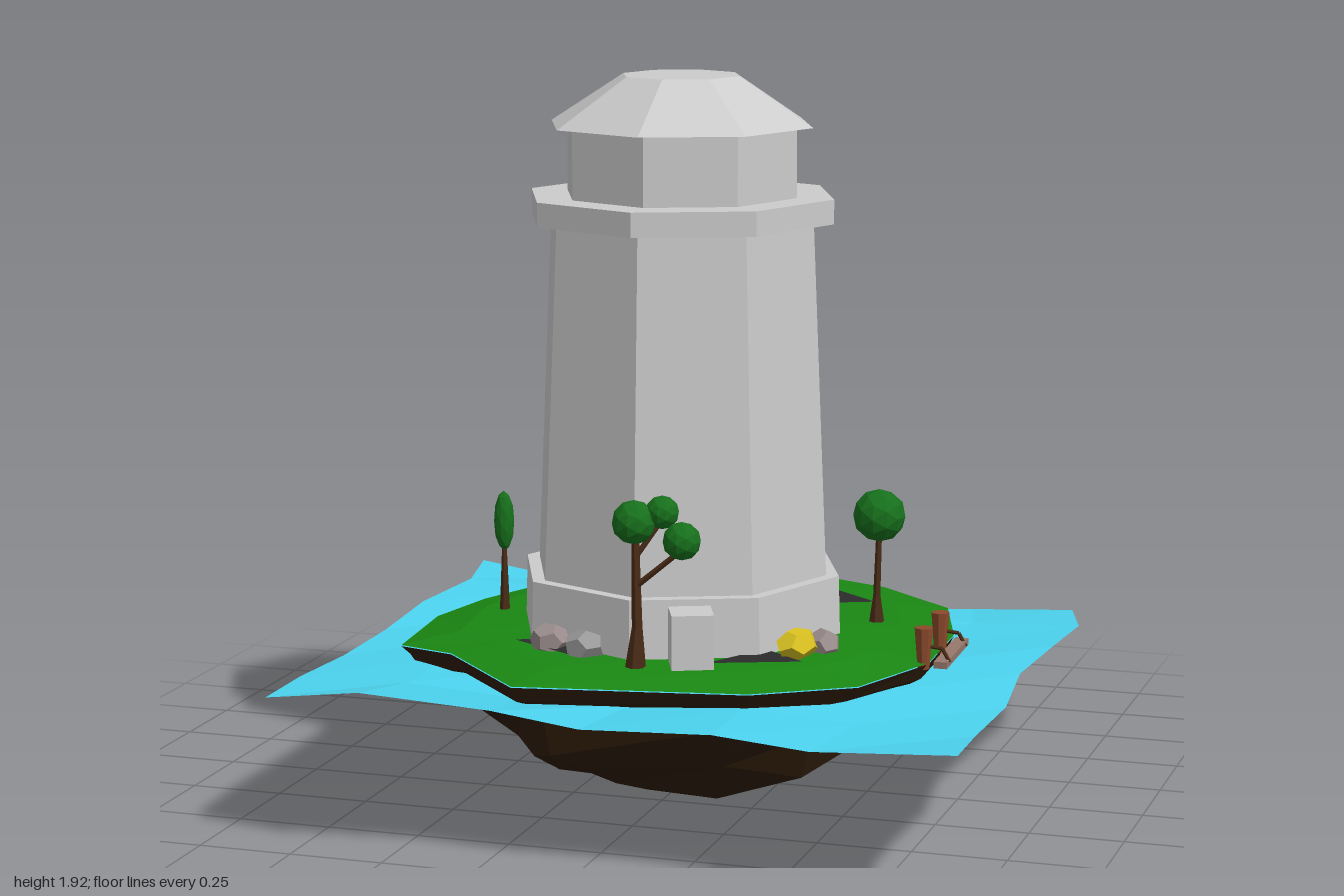
import * as THREE from 'three';

const mat = (color, side = THREE.FrontSide) =>
  new THREE.MeshStandardMaterial({ color, flatShading: true, side });
const STONE = mat(0xcccccc), GRASS = mat(0x1a8813), SOIL = mat(0x2e1c0a);
const WATER = mat(0x4cd4f0, THREE.DoubleSide), PATCH = mat(0x2c2c2c, THREE.DoubleSide);
const LEAF = mat(0x17701c), TRUNK = mat(0x4a2c17), WOOD = mat(0x8b4a2b);
const PLANK = mat(0x96786c), ROCK = mat(0x9a8c8c), GREYROCK = mat(0x999999), YELLOW = mat(0xd8c020);

function add(parent, name, geometry, material, x = 0, y = 0, z = 0) {
  const m = new THREE.Mesh(geometry, material);
  m.name = name;
  m.position.set(x, y, z);
  parent.add(m);
  return m;
}

// Shore outline: x, z, height of the rim
const SHORE = [
  [-0.735, 0, 0.4], [-0.67, -0.2, 0.41], [-0.48, -0.5, 0.43], [-0.21, -0.69, 0.43], [0.085, -0.715, 0.43],
  [0.38, -0.635, 0.42], [0.61, -0.44, 0.42], [0.71, -0.1, 0.43], [0.72, 0.22, 0.43], [0.6, 0.475, 0.42],
  [0.355, 0.635, 0.42], [-0.23, 0.78, 0.43], [-0.5, 0.5, 0.43], [-0.69, 0.38, 0.41],
];

// Skin over rings of equal point count
function loft(rings) {
  const n = rings[0].length, pos = rings.flat(2), index = [];
  for (let r = 0; r < rings.length - 1; r++) {
    for (let j = 0; j < n; j++) {
      const a = r * n + j, b = r * n + (j + 1) % n;
      index.push(a, a + n, b, b, a + n, b + n);
    }
  }
  const g = new THREE.BufferGeometry();
  g.setAttribute('position', new THREE.Float32BufferAttribute(pos, 3));
  g.setIndex(index);
  g.computeVertexNormals();
  return g;
}

function addIsland(root) {
  // Grass: rim rises to a nearly level plateau
  const grass = [[1, 0], [0.8, 0.8], [0.55, 1], [0, 1]].map(([s, t]) =>
    SHORE.map(([x, z, y]) => [x * s, y + (0.45 - y) * t, z * s]));
  add(root, 'grass', loft(grass), GRASS);

  // Ragged soil bowl, from the lowest point up to the rim
  const levels = [[0, 0.005], [0.25, 0.015], [0.46, 0.06], [0.64, 0.14], [0.75, 0.23], [0.86, 0.33], [0.97, 0.385]];
  const soil = levels.map(([s, y], i) => SHORE.map(([x, z], j) => {
    const k = i && i < 6 ? 1 + 0.06 * Math.sin(j * 2.4 + i * 1.7) : 1;
    const dy = i > 1 && i < 6 ? 0.02 * Math.sin(j * 1.9 + i * 2.3) : 0;
    return [x * s * k, y + dy, z * s * k];
  }));
  soil.push(SHORE.map(([x, z, y]) => [x, y - 0.003, z]));
  add(root, 'soil', loft(soil), SOIL);

  // Dark slabs showing around the foot of the tower
  const tris = [
    [0.18, -0.2, 0.265, -0.445, 0.435, -0.31], [-0.47, -0.11, -0.36, -0.36, -0.25, -0.22],
    [-0.12, -0.4, -0.03, -0.37, -0.1, -0.3], [0.2, 0.49, 0.43, 0.4, 0.3, 0.3], [-0.36, 0.4, -0.2, 0.34, -0.17, 0.51],
  ];
  for (const t of tris) {
    const g = new THREE.BufferGeometry();
    g.setAttribute('position', new THREE.Float32BufferAttribute(
      [t[0], 0.455, t[1], t[4], 0.455, t[5], t[2], 0.455, t[3]], 3));
    g.computeVertexNormals();
    add(root, 'darkSlab', g, PATCH);
  }
}

// Wavy sheet: edge points follow the ragged outline, height varies across
function addWater(root) {
  const back = [[-0.98, 0.33, -1], [-0.68, 0.31, -0.92], [-0.38, 0.29, -0.975], [-0.09, 0.27, -0.96], [0.2, 0.27, -0.98], [0.55, 0.29, -0.985], [0.85, 0.31, -0.98]];
  const front = [[-0.85, 0.385, 0.91], [-0.56, 0.44, 0.99], [-0.23, 0.405, 0.93], [0.01, 0.38, 0.945], [0.35, 0.39, 0.93], [0.6, 0.37, 0.935], [0.97, 0.39, 0.93]];
  const left = [-0.98, -0.89, -0.915, -0.9, -0.89, -0.88, -0.85];
  const right = [0.85, 0.935, 0.93, 0.91, 0.945, 0.94, 0.97];
  const g = new THREE.PlaneGeometry(2, 2, 6, 6).rotateX(-Math.PI / 2);
  const p = g.attributes.position;
  for (let r = 0; r < 7; r++) {
    for (let c = 0; c < 7; c++) {
      let [x, y, z] = r === 0 ? back[c] : front[c];
      if (r > 0 && r < 6) {
        x = left[r] + (right[r] - left[r]) * c / 6;
        z = -0.98 + r * 0.32;
        y = 0.335 + 0.006 * r + 0.012 * Math.sin(c * 1.9 + r * 1.3);
      }
      p.setXYZ(r * 7 + c, x, y, z);
    }
  }
  g.computeVertexNormals();
  add(root, 'water', g, WATER);
}

// Eight-sided tower with a corner facing each axis
function addTower(root) {
  const tower = new THREE.Group();
  tower.name = 'tower';
  tower.position.set(-0.01, 0, 0.05);
  root.add(tower);
  const tiers = [ // name, bottom radius, top radius, bottom y, top y
    ['towerBase', 0.445, 0.44, 0.42, 0.605], ['towerShaft', 0.405, 0.365, 0.6, 1.55],
    ['gallery', 0.42, 0.42, 1.545, 1.61], ['lanternRoom', 0.318, 0.318, 1.605, 1.8],
    ['roof', 0.362, 0.16, 1.795, 1.925],
  ];
  for (const [name, rb, rt, y0, y1] of tiers)
    add(tower, name, new THREE.CylinderGeometry(rt, rb, y1 - y0, 8), STONE, 0, (y0 + y1) / 2, 0);
  add(tower, 'door', new THREE.BoxGeometry(0.11, 0.145, 0.14), STONE, 0.16, 0.515, 0.42).rotation.y = Math.PI / 8;
}

// Tapered limb from a to b
function limb(parent, name, a, b, ra, rb, material) {
  const p = new THREE.Vector3(...a), q = new THREE.Vector3(...b), d = q.clone().sub(p);
  const m = add(parent, name, new THREE.CylinderGeometry(rb, ra, d.length(), 6), material);
  m.position.copy(p.add(q).multiplyScalar(0.5));
  m.quaternion.setFromUnitVectors(new THREE.Vector3(0, 1, 0), d.normalize());
  return m;
}

function crown(parent, x, y, z, r, sy = 1) {
  add(parent, 'treeCrown', new THREE.IcosahedronGeometry(r, 1), LEAF, x, y, z).scale.y = sy;
}

function addTrees(root) {
  const trees = new THREE.Group();
  trees.name = 'trees';
  root.add(trees);
  // Forked tree by the door
  limb(trees, 'trunk', [0.025, 0.44, 0.545], [0.03, 0.55, 0.545], 0.028, 0.014, TRUNK);
  limb(trees, 'trunk', [0.03, 0.55, 0.545], [0.025, 0.8, 0.545], 0.014, 0.01, TRUNK);
  limb(trees, 'branch', [0.03, 0.66, 0.545], [0.15, 0.76, 0.55], 0.009, 0.008, TRUNK);
  limb(trees, 'branch', [0.03, 0.74, 0.545], [0.09, 0.83, 0.52], 0.008, 0.006, TRUNK);
  crown(trees, 0.022, 0.825, 0.545, 0.058);
  crown(trees, 0.09, 0.85, 0.52, 0.044);
  crown(trees, 0.152, 0.785, 0.55, 0.05);
  // Round tree
  limb(trees, 'trunk', [0.49, 0.44, -0.12], [0.49, 0.52, -0.12], 0.022, 0.01, TRUNK);
  limb(trees, 'trunk', [0.49, 0.52, -0.12], [0.495, 0.7, -0.12], 0.01, 0.008, TRUNK);
  crown(trees, 0.495, 0.74, -0.12, 0.072);
  // Slim tree
  limb(trees, 'trunk', [-0.525, 0.44, 0.03], [-0.525, 0.63, 0.03], 0.014, 0.006, TRUNK);
  crown(trees, -0.525, 0.69, 0.03, 0.028, 3);
}

function addRocks(root) {
  const rocks = [ // x, y, z, half sizes, material
    [-0.25, 0.47, 0.43, 0.055, 0.045, 0.05, ROCK], [-0.14, 0.47, 0.465, 0.058, 0.045, 0.055, GREYROCK],
    [0.44, 0.46, 0.23, 0.045, 0.045, 0.05, ROCK], [0.39, 0.475, 0.31, 0.05, 0.045, 0.075, YELLOW],
  ];
  rocks.forEach(([x, y, z, a, b, c, m], i) => {
    const g = new THREE.DodecahedronGeometry(1).rotateX(i).rotateZ(i * 1.7).scale(a, b, c);
    add(root, m === YELLOW ? 'yellowRock' : 'rock', g, m, x, y, z).rotation.y = -0.25;
  });
}

// Small jetty on the +x shore
function addJetty(root) {
  const jetty = new THREE.Group();
  jetty.name = 'jetty';
  root.add(jetty);
  for (const z of [0.035, 0.215]) {
    add(jetty, 'mooringPost', new THREE.CylinderGeometry(0.025, 0.016, 0.11, 8), WOOD, 0.705, 0.468, z);
    limb(jetty, 'tieBar', [0.7, 0.475, z], [0.755, 0.47, z], 0.005, 0.005, TRUNK);
    limb(jetty, 'tieBar', [0.755, 0.47, z], [0.775, 0.435, z], 0.005, 0.005, TRUNK);
  }
  add(jetty, 'plank', new THREE.BoxGeometry(0.035, 0.018, 0.24), PLANK, 0.757, 0.437, 0.125).rotation.x = 0.04;
}

export function createModel() {
  const root = new THREE.Group();
  root.name = 'towerIsland';
  addWater(root);
  addIsland(root);
  addTower(root);
  addTrees(root);
  addRocks(root);
  addJetty(root);
  return root;
}
